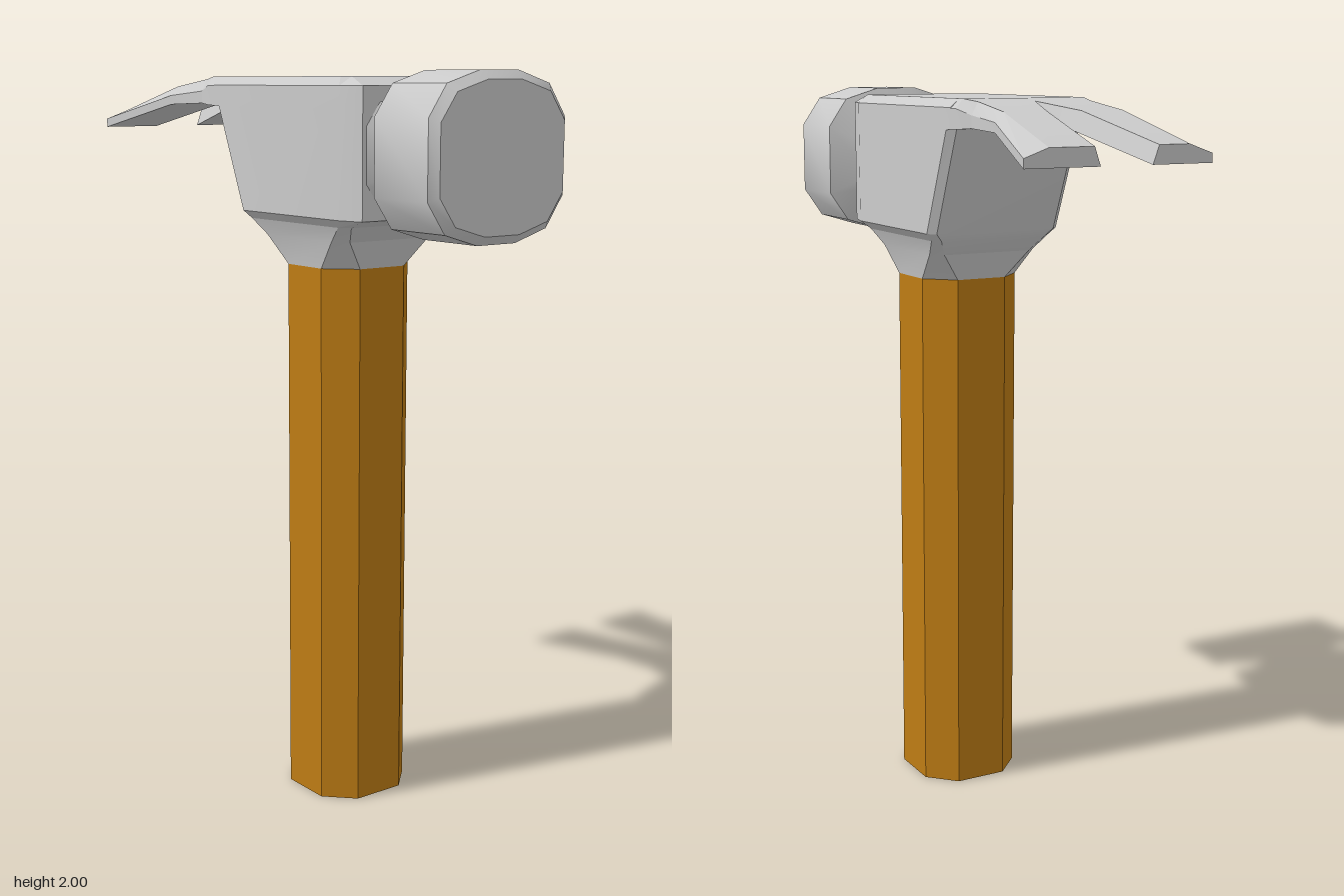
import * as THREE from 'three';
import { toCreasedNormals } from 'three/addons/utils/BufferGeometryUtils.js';

// Skin through closed rings, each counterclockwise about the direction of travel, capped at both ends
function loft(rings) {
  const n = rings[0].length;
  const index = [];
  for (let i = 0; i < rings.length - 1; i++) {
    for (let j = 0; j < n; j++) {
      const k = (j + 1) % n;
      const a = i * n + j, b = i * n + k;
      index.push(a, b, b + n, a, b + n, a + n);
    }
  }
  const last = (rings.length - 1) * n;
  for (let j = 1; j < n - 1; j++) {
    index.push(0, j + 1, j, last, last + j, last + j + 1);
  }
  const geometry = new THREE.BufferGeometry();
  geometry.setAttribute('position', new THREE.Float32BufferAttribute(rings.flat(2), 3));
  geometry.setIndex(index);
  return geometry;
}

// Horizontal rectangle with cut corners
function layer(y, hx, zBack, zFront, cx, cBack, cFront) {
  return [
    [-hx + cx, y, zFront], [hx - cx, y, zFront],
    [hx, y, zFront - cFront], [hx, y, zBack + cBack],
    [hx - cx, y, zBack], [-hx + cx, y, zBack],
    [-hx, y, zBack + cBack], [-hx, y, zFront - cFront],
  ];
}

// Twelve-sided, slightly squared ring facing +z
function poll(z, hx, hy) {
  const corner = [[1, -0.47], [1, 0.47], [0.75, 0.85], [0.28, 1], [-0.28, 1], [-0.75, 0.85]];
  const ring = [...corner.slice(1), [-1, 0.47]];
  return [...ring, ...ring.map(([x, y]) => [-x, -y])]
    .map(([x, y]) => [x * hx, 1.7925 + y * hy, z]);
}

export function createModel() {
  const model = new THREE.Group();
  model.name = 'hammer';
  const metal = new THREE.MeshStandardMaterial({ color: 0xcccccc });
  const wood = new THREE.MeshStandardMaterial({ color: 0xbe7c14 });

  function add(name, rings, material, crease = 0.3) {
    const mesh = new THREE.Mesh(toCreasedNormals(loft(rings), crease), material);
    mesh.name = name;
    model.add(mesh);
  }

  // Octagonal handle
  add('handle', [0, 1.49].map(y => layer(y, 0.147, -0.017, 0.277, 0.073, 0.073, 0.073)), wood);

  // Collar flaring into the bevelled block of the head
  add('headBody', [
    layer(1.49, 0.147, -0.017, 0.277, 0.073, 0.073, 0.073),
    layer(1.565, 0.162, -0.05, 0.308, 0.03, 0.03, 0.04),
    layer(1.607, 0.18, -0.088, 0.35, 0.02, 0.02, 0.03),
    layer(1.628, 0.2, -0.1, 0.42, 0.02, 0.02, 0.07),
    layer(1.905, 0.2, -0.215, 0.42, 0.02, 0.02, 0.07),
    layer(1.962, 0.2, -0.24, 0.42, 0.02, 0.02, 0.07),
    layer(1.985, 0.18, -0.25, 0.35, 0.02, 0.02, 0.02),
  ], metal);

  // Pinched neck and striking head
  add('strikingHead', [
    poll(0.41, 0.18, 0.165),
    poll(0.467, 0.11, 0.092),
    poll(0.517, 0.22, 0.2075),
    poll(0.717, 0.22, 0.2075),
    poll(0.738, 0.2, 0.185),
  ], metal, 0.62);

  // Two claw prongs that meet on the centre line, then split and spread
  for (const side of [1, -1]) {
    const spread = side * 0.018;
    // z, outer top, outer edge, inner top, inner bottom, then heights of top, edge, bottom
    const sections = [
      [-0.18, 0.18, 0.2, 0, 0, 1.985, 1.96, 1.905],
      [-0.25, 0.18, 0.2, 0, 0, 1.985, 1.96, 1.908],
      [-0.305, 0.165, 0.185, 0, 0, 1.978, 1.945, 1.912],
      [-0.45, 0.173, 0.197, 0.05, 0.03, 1.957, 1.932, 1.907],
      [-0.738, 0.196 + spread, 0.263 + spread, 0.09, 0.073, 1.885, 1.862, 1.838],
    ];
    const rings = sections.map(([z, top, edge, inTop, inBottom, yTop, yEdge, yBottom]) => {
      const ring = [
        [inTop, yTop], [top, yTop], [edge, yEdge], [edge, yBottom], [inBottom, yBottom],
      ].map(([x, y]) => [side * x, y, z]);
      return side > 0 ? ring : ring.reverse();
    });
    add(side > 0 ? 'leftClaw' : 'rightClaw', rings, metal);
  }

  // The head and handle sit just off the centre because the claw tips spread unevenly
  for (const part of model.children) part.position.x = -0.018;
  return model;
}
